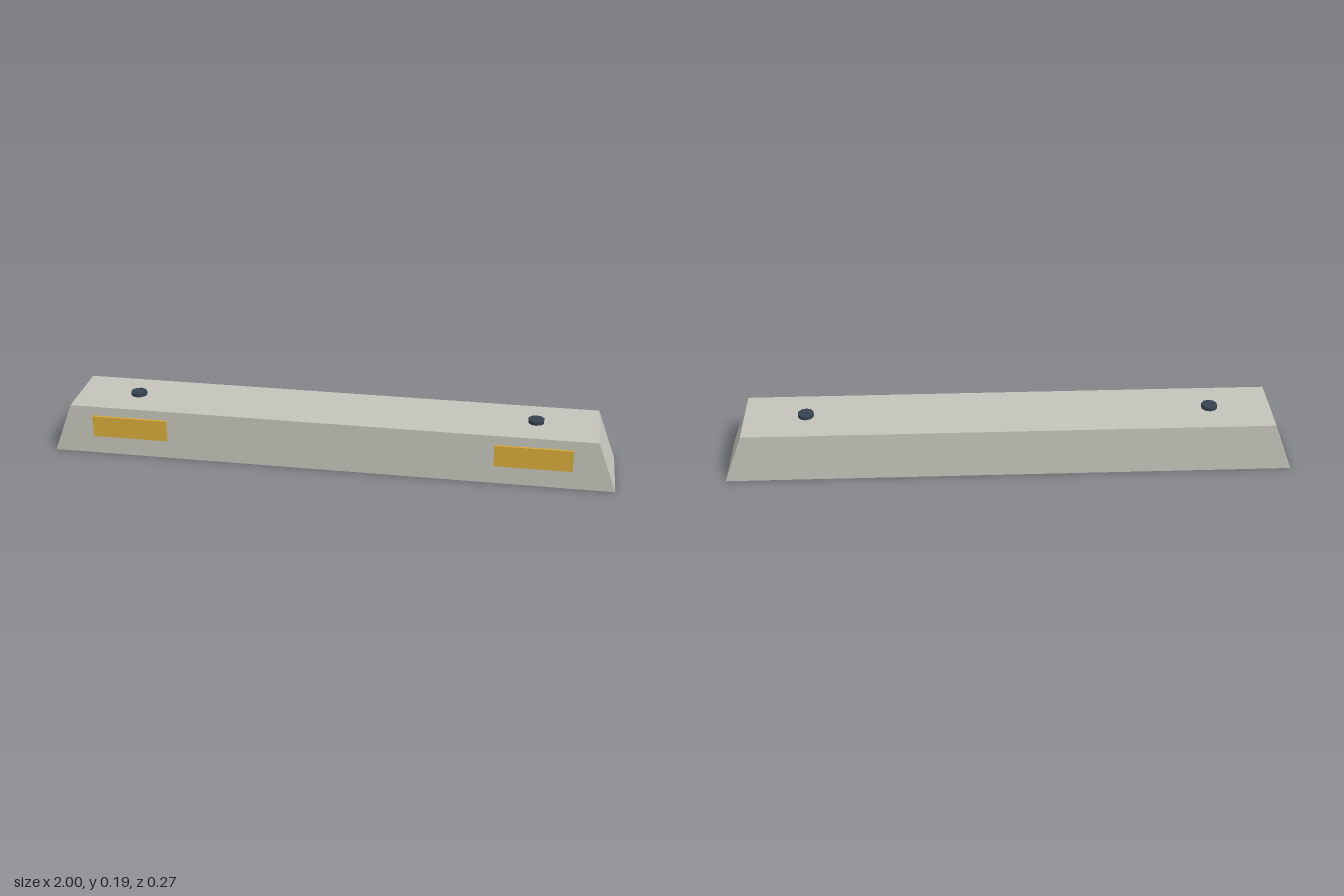
import * as THREE from 'three';

export function createModel() {
  const model = new THREE.Group();
  model.name = 'parkingKerb';

  const material = (name, color) => {
    const m = new THREE.MeshStandardMaterial({ color });
    m.name = name;
    return m;
  };
  const concrete = material('concrete', 0xc4c4bb);
  const amber = material('amber', 0xd6a93a);
  const steel = material('darkSteel', 0x35424e);

  const add = (name, geometry, mat, x, y, z) => {
    const mesh = new THREE.Mesh(geometry, mat);
    mesh.name = name;
    mesh.position.set(x, y, z);
    model.add(mesh);
  };

  const height = 0.182, depth = 0.26, centreZ = -0.0045;

  // Long block with sloping ends
  const profile = new THREE.Shape([
    new THREE.Vector2(-1, 0),
    new THREE.Vector2(1, 0),
    new THREE.Vector2(0.932, height),
    new THREE.Vector2(-0.932, height),
  ]);
  const block = new THREE.ExtrudeGeometry(profile, { depth, bevelEnabled: false });
  add('block', block, concrete, 0, 0, centreZ - depth / 2);

  // A reflector plate and a bolt head near each end
  const plate = new THREE.BoxGeometry(0.27, 0.078, 0.009);
  const bolt = new THREE.CylinderGeometry(0.0285, 0.0285, 0.013, 10);
  for (const [side, s] of [['left', 1], ['right', -1]]) {
    add(side + 'Reflector', plate, amber, s * 0.715, 0.109, centreZ + depth / 2 + 0.0045);
    add(side + 'Bolt', bolt, steel, s * 0.715, height + 0.0065, centreZ);
  }

  return model;
}
